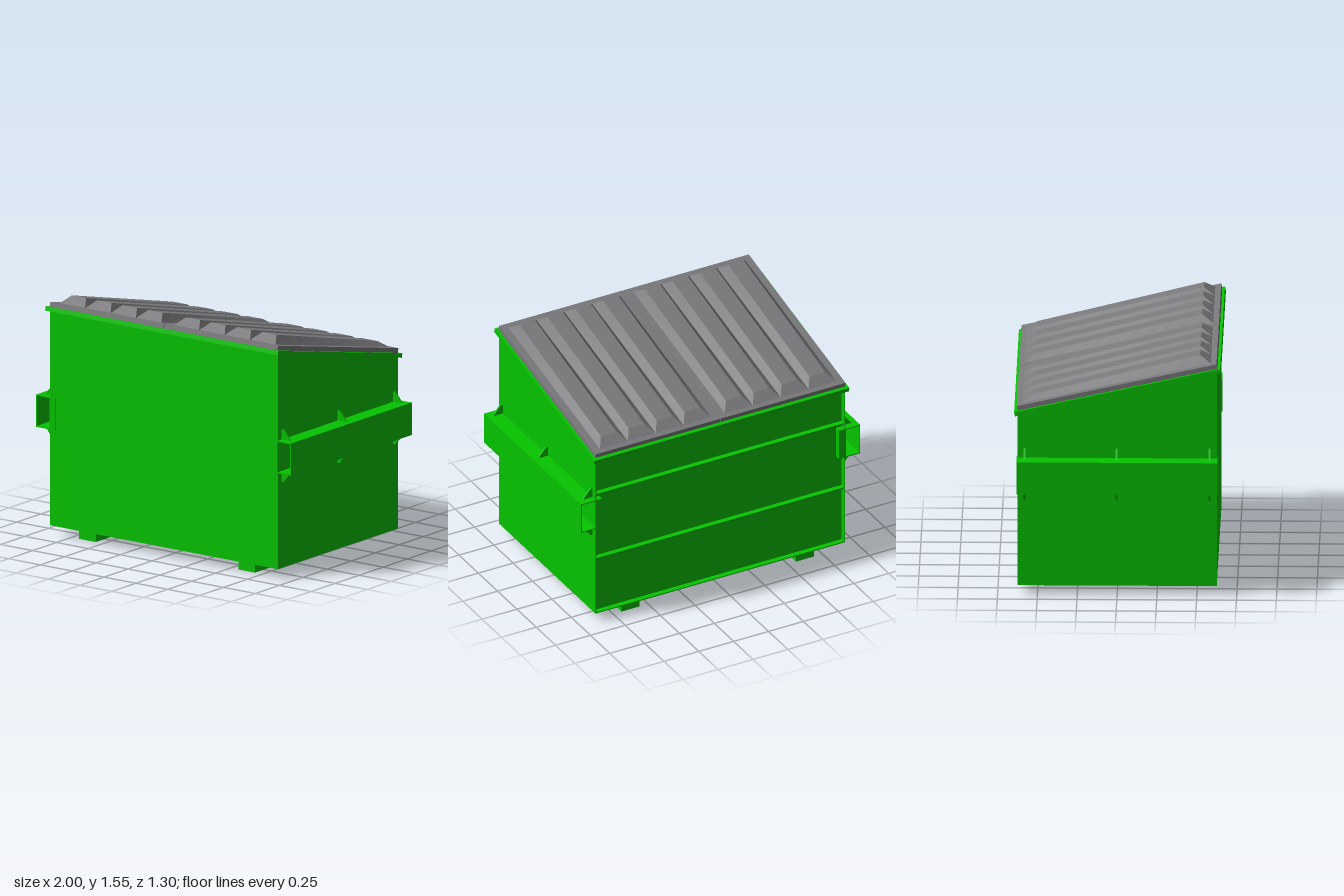
import * as THREE from 'three';

const green = new THREE.MeshStandardMaterial({ color: 0x05c400, flatShading: true });
const grey = new THREE.MeshStandardMaterial({ color: 0x7a7a7d, flatShading: true });

const SLOPE = 0.223; // rise of the top towards the front
const topY = z => 1.341 + SLOPE * z;

function add(parent, name, geometry, material = green) {
  const mesh = new THREE.Mesh(geometry, material);
  mesh.name = name;
  parent.add(mesh);
  return mesh;
}

// Box given by its limits on each axis
function box(x0, x1, y0, y1, z0, z1) {
  return new THREE.BoxGeometry(x1 - x0, y1 - y0, z1 - z0)
    .translate((x0 + x1) / 2, (y0 + y1) / 2, (z0 + z1) / 2);
}

// Side outline of [z, y] points extruded from x0 to x1
function sideExtrude(x0, x1, points) {
  const shape = new THREE.Shape(points.map(p => new THREE.Vector2(...p)));
  return new THREE.ExtrudeGeometry(shape, { depth: x1 - x0, bevelEnabled: false })
    .rotateY(-Math.PI / 2).translate(x1, 0, 0);
}

// Block with a sloping top, standing on the floor of the container
const slopedBlock = (x0, x1, zBack, zFront) => sideExtrude(x0, x1, [
  [zBack, 0.062], [zFront, 0.062], [zFront, topY(zFront) - 0.01], [zBack, topY(zBack) - 0.01],
]);

// Raised lid rib: a box reshaped to a frustum that gets lower towards the back
function ribGeometry(cx) {
  const g = new THREE.BoxGeometry(2, 2, 2, 1, 1, 10);
  const p = g.attributes.position;
  for (let i = 0; i < p.count; i++) {
    const top = p.getY(i) > 0, t = (p.getZ(i) + 1) / 2;
    const x = cx + Math.sign(p.getX(i)) * (top ? 0.056 : 0.1);
    const y = top ? THREE.MathUtils.lerp(0.06, 0.087, t) : 0.029;
    const z = top ? THREE.MathUtils.lerp(-0.53, 0.551, t) : THREE.MathUtils.lerp(-0.607, 0.609, t);
    p.setXYZ(i, x, y, z);
  }
  g.computeVertexNormals();
  return g;
}

// Triangular brace plate above (dir 1) or below (dir -1) a pocket
function gussetGeometry(side, dir) {
  const y = dir > 0 ? 0.892 : 0.688;
  const pts = [[0.89, y], [0.965, y], [0.91, y + dir * 0.067], [0.89, y + dir * 0.067]];
  const shape = new THREE.Shape(pts.map(([x, v]) => new THREE.Vector2(side * x, v)));
  return new THREE.ExtrudeGeometry(shape, { depth: 0.012, bevelEnabled: false }).translate(0, 0, -0.006);
}

export function createModel() {
  const model = new THREE.Group();
  model.name = 'dumpster';

  // Container with a recessed back panel; floor and side walls run past it
  add(model, 'container', slopedBlock(-0.89, 0.89, -0.59, 0.625));
  add(model, 'floor', box(-0.892, 0.892, 0.061, 0.068, -0.625, 0.62));

  // Back stiffeners: flat on top, sloping underneath
  for (const y of [0.455, 0.925]) {
    add(model, 'backStiffener', sideExtrude(-0.89, 0.89,
      [[-0.585, y - 0.03], [-0.585, y + 0.01], [-0.624, y + 0.01], [-0.624, y + 0.002]].reverse()));
  }

  for (const side of [-1, 1]) {
    const half = new THREE.Group();
    half.name = side > 0 ? 'leftSide' : 'rightSide';
    model.add(half);
    const sideBox = (name, a, b, ...rest) =>
      add(half, name, box(Math.min(side * a, side * b), Math.max(side * a, side * b), ...rest));

    add(half, 'sideWall', slopedBlock(side > 0 ? 0.889 : -0.895, side > 0 ? 0.895 : -0.889, -0.625, 0.625));
    sideBox('skid', 0.56, 0.69, 0, 0.056, -0.593, 0.593);

    // Open-ended lifting pocket
    sideBox('pocketInner', 0.85, 0.897, 0.685, 0.895, -0.63, 0.63);
    sideBox('pocketOuter', 0.995, 1, 0.685, 0.895, -0.63, 0.63);
    sideBox('pocketTop', 0.89, 0.998, 0.888, 0.895, -0.63, 0.63);
    sideBox('pocketBottom', 0.89, 0.998, 0.685, 0.692, -0.63, 0.63);

    for (const z of [-0.58, -0.004, 0.58]) {
      for (const dir of [-1, 1]) add(half, 'gusset', gussetGeometry(side, dir)).position.z = z;
    }
  }

  // Sloping rim and the two ribbed lids
  const top = new THREE.Group();
  top.name = 'top';
  top.position.y = topY(0);
  top.rotation.x = -Math.atan(SLOPE);
  model.add(top);
  add(top, 'rim', box(-0.914, 0.914, -0.028, 0, -0.662, 0.662));

  for (const side of [-1, 1]) {
    const lid = new THREE.Group();
    lid.name = side > 0 ? 'leftLid' : 'rightLid';
    top.add(lid);
    add(lid, 'lidPanel', box(-0.4465, 0.4465, 0, 0.03, -0.639, 0.645), grey).position.x = side * 0.4485;
    for (let i = 0; i < 4; i++) add(lid, 'lidRib', ribGeometry(side * (0.148 + 0.2 * i)), grey);
  }
  return model;
}
